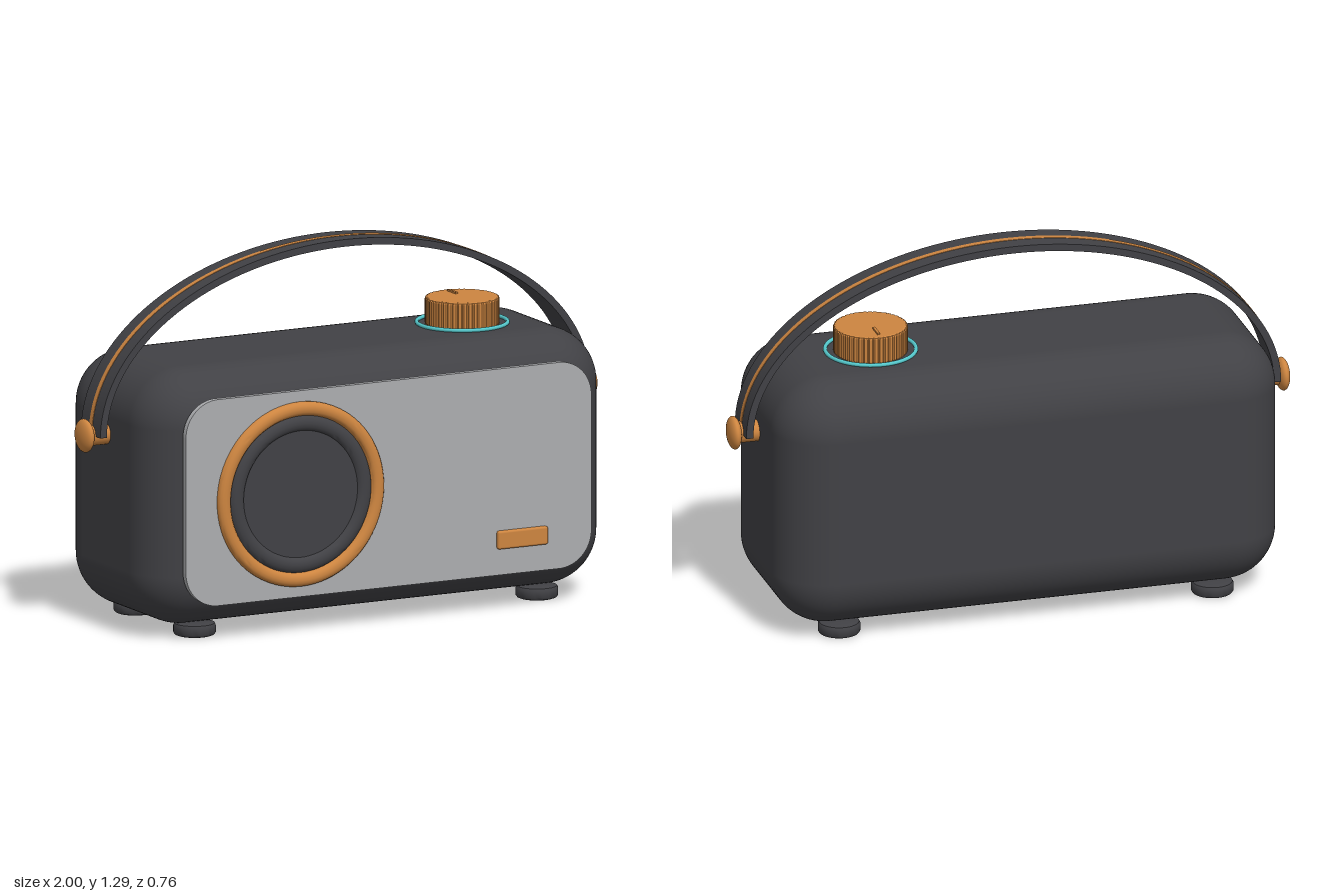
import * as THREE from 'three';
import { toCreasedNormals } from 'three/addons/utils/BufferGeometryUtils.js';
import { RoundedBoxGeometry } from 'three/addons/geometries/RoundedBoxGeometry.js';

const CZ = -0.022; // depth centre of the case

function material(name, color) {
  const m = new THREE.MeshStandardMaterial({ color });
  m.name = name;
  return m;
}

// Rectangle with rounded corners, centred on the origin
function roundedRect(w, h, r) {
  const s = new THREE.Shape();
  const x = w / 2 - r, y = h / 2 - r;
  s.absarc(x, y, r, 0, Math.PI / 2);
  s.absarc(-x, y, r, Math.PI / 2, Math.PI);
  s.absarc(-x, -y, r, Math.PI, Math.PI * 1.5);
  s.absarc(x, -y, r, Math.PI * 1.5, Math.PI * 2);
  s.closePath();
  return s;
}

// Half-elliptical band of constant thickness, extruded along z
function archBand(rx, ry, thickness, width) {
  const s = new THREE.Shape();
  const n = 72;
  const at = (i, t) => {
    const a = (i / n) * Math.PI;
    return [Math.cos(a) * (rx - t), Math.sin(a) * (ry - t)];
  };
  s.moveTo(...at(0, 0));
  for (let i = 1; i <= n; i++) s.lineTo(...at(i, 0));
  for (let i = n; i >= 0; i--) s.lineTo(...at(i, thickness));
  s.closePath();
  const g = new THREE.ExtrudeGeometry(s, { depth: width, bevelEnabled: false });
  g.translate(0, 0, -width / 2);
  return toCreasedNormals(g, 0.6);
}

function lathe(points, segments = 64) {
  const g = new THREE.LatheGeometry(points.map(([x, y]) => new THREE.Vector2(x, y)), segments);
  return toCreasedNormals(g, 0.7);
}

export function createModel() {
  const group = new THREE.Group();
  group.name = 'portableRadio';
  const dark = material('charcoal', 0x414145);
  const grey = material('panelGrey', 0xacadb0);
  const copper = material('copper', 0xcd8540);
  const cyan = material('cyanGlow', 0x55c8cc);

  function add(name, geometry, mat, x = 0, y = 0, z = 0, parent = group) {
    const mesh = new THREE.Mesh(geometry, mat);
    mesh.name = name;
    mesh.position.set(x, y, z);
    parent.add(mesh);
    return mesh;
  }

  // Case
  add('case', new RoundedBoxGeometry(1.79, 0.895, 0.715, 10, 0.19), dark, 0, 0.4875, CZ);

  // Front panel and badge
  const panel = new THREE.ExtrudeGeometry(roundedRect(1.575, 0.72, 0.125),
    { depth: 0.022, bevelEnabled: false, curveSegments: 16 });
  add('frontPanel', toCreasedNormals(panel, 0.6), grey, 0, 0.49, 0.336);
  add('badge', new RoundedBoxGeometry(0.195, 0.064, 0.024, 3, 0.008), copper, 0.517, 0.253, 0.359);

  // Speaker: copper rim, dark surround, recessed cone plate
  const speaker = new THREE.Group();
  speaker.name = 'speaker';
  speaker.position.set(-0.345, 0.49, 0.355);
  speaker.rotation.x = Math.PI / 2;
  group.add(speaker);
  add('speakerRim', lathe([[0.322, 0], [0.322, 0.012], [0.317, 0.02], [0.309, 0.025], [0.299, 0.027],
    [0.287, 0.025], [0.279, 0.02], [0.274, 0.012], [0.274, 0]], 80), copper, 0, 0, 0, speaker);
  add('speakerSurround', lathe([[0.276, 0.004], [0.271, 0.013], [0.26, 0.02], [0.247, 0.022],
    [0.234, 0.02], [0.224, 0.013], [0.219, 0.004]], 80), dark, 0, 0, 0, speaker);
  add('speakerCone', new THREE.CylinderGeometry(0.222, 0.222, 0.008, 64), dark, 0, 0.004, 0, speaker);

  // Feet
  const footGeo = lathe([[0, 0], [0.06, 0], [0.068, 0.003], [0.073, 0.01],
    [0.073, 0.034], [0.069, 0.042], [0.06, 0.045], [0, 0.045]], 32);
  for (const x of [-0.665, 0.665]) {
    for (const z of [0.192, -0.237]) add('foot', footGeo, dark, x, 0, z);
  }

  // Fluted tuning knob with pointer and glowing ring
  const ribs = 44;
  const fluted = new THREE.Shape();
  for (let i = 0; i < ribs * 4; i++) {
    const a = (i / (ribs * 4)) * Math.PI * 2;
    const r = i % 4 < 2 ? 0.121 : 0.117;
    if (i === 0) fluted.moveTo(r, 0);
    else fluted.lineTo(Math.cos(a) * r, Math.sin(a) * r);
  }
  fluted.closePath();
  const knob = new THREE.ExtrudeGeometry(fluted,
    { depth: 0.082, bevelThickness: 0.008, bevelSize: 0.007, bevelSegments: 2 });
  knob.rotateX(-Math.PI / 2);
  add('tuningKnob', knob, copper, 0.49, 0.94, CZ);
  add('knobPointer', new THREE.BoxGeometry(0.01, 0.01, 0.06), copper, 0.49, 1.031, CZ - 0.07);
  const ring = new THREE.TorusGeometry(0.156, 0.007, 10, 64);
  ring.rotateX(Math.PI / 2);
  add('knobRing', ring, cyan, 0.49, 0.941, CZ);

  // Carrying strap with a thin inlaid stripe
  add('handleStrap', archBand(0.953, 0.602, 0.025, 0.141), dark, 0, 0.686, CZ);
  add('handleStripe', archBand(0.9545, 0.6035, 0.004, 0.022), copper, 0, 0.686, CZ);

  // Strap pivots: pin and domed cap on each side
  const pinGeo = new THREE.CylinderGeometry(0.037, 0.037, 0.1, 32);
  pinGeo.rotateZ(Math.PI / 2);
  const capGeo = new THREE.SphereGeometry(0.058, 32, 20);
  capGeo.scale(0.4, 1, 1);
  for (const s of [-1, 1]) {
    add('pivotPin', pinGeo, copper, s * 0.925, 0.686, CZ);
    add('pivotCap', capGeo, copper, s * 0.977, 0.686, CZ);
  }

  return group;
}
